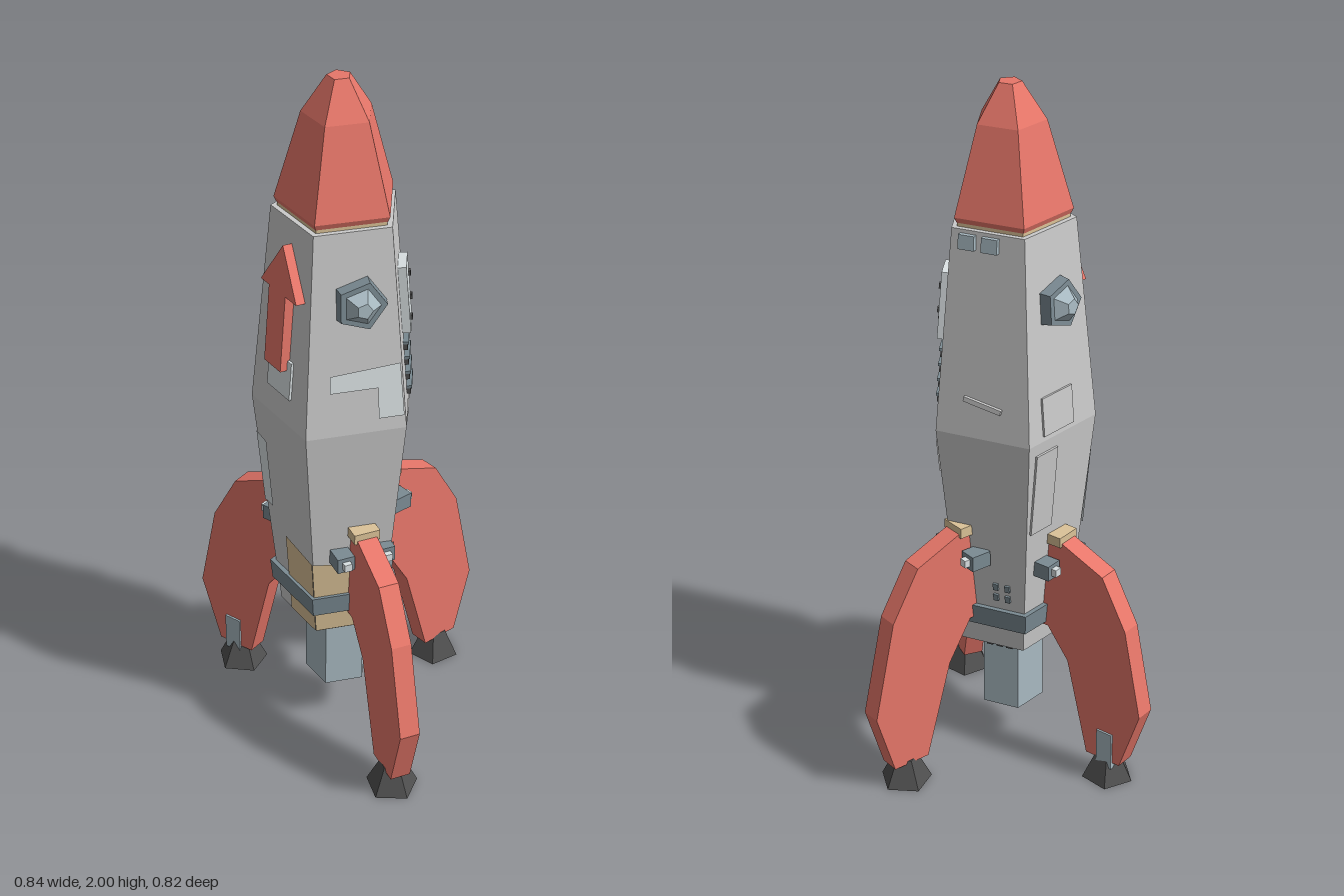
import * as THREE from 'three';

const CX = 0.052, CZ = 0.042; // hull axis
const GREY = 0xcccccc, RED = 0xe8776a, STEEL = 0x7b8b93, PALE = 0xa9bac2, LIGHT = 0xdbe2e4, TAN = 0xdcc398, DARK = 0x505050;
const rad = THREE.MathUtils.degToRad;

function mesh(name, geometry, color, parent, side = THREE.FrontSide) {
  const m = new THREE.Mesh(geometry, new THREE.MeshStandardMaterial({ color, flatShading: true, side }));
  m.name = name;
  parent.add(m);
  return m;
}

// five-sided solid from a [radius, height] profile, a corner pointing to the front
const lathe = (pts) => new THREE.LatheGeometry(pts.map(([r, y]) => new THREE.Vector2(r, y)), 5);
const box = (w, h, d) => new THREE.BoxGeometry(w, h, d);

function shapeOf(pts) {
  return new THREE.Shape(pts.map(([x, y]) => new THREE.Vector2(x, y)));
}
function slab(pts, depth) {
  const g = new THREE.ExtrudeGeometry(shapeOf(pts), { depth, bevelEnabled: false });
  return g.translate(0, 0, -depth / 2);
}

// hull radius at corner, by height
const Y0 = 0.38, Y1 = 1.06, Y2 = 1.635, R0 = 0.16, R1 = 0.233, R2 = 0.175;
const hullR = (y) => (y < Y1 ? R0 + ((R1 - R0) * (y - Y0)) / (Y1 - Y0) : R1 + ((R2 - R1) * (y - Y1)) / (Y2 - Y1));
const halfWidth = (y) => hullR(y) * Math.sin(rad(36));
const apothem = (y) => hullR(y) * Math.cos(rad(36));

// hull sides by direction in degrees from +x towards +z
const FRONT_RIGHT = 54, FRONT_LEFT = 126, LEFT = 198, BACK = 270, RIGHT = 342;

// anchor lying on a hull side: u along the side, z outwards
function anchor(parent, face, u, y, name) {
  const a = rad(face), g = new THREE.Group(), d = apothem(y);
  g.name = name;
  g.position.set(Math.cos(a) * d + Math.sin(a) * u, y, Math.sin(a) * d - Math.cos(a) * u);
  const slope = y < Y1 ? (R1 - R0) / (Y1 - Y0) : (R2 - R1) / (Y2 - Y1);
  g.rotation.set(Math.atan(slope * Math.cos(rad(36))), Math.PI / 2 - a, 0, 'YXZ');
  parent.add(g);
  return g;
}

// thin sheet following a hull side, outline in [u, y]
function patch(parent, name, face, pts, color, off = 0.005) {
  const g = new THREE.ShapeGeometry(shapeOf(pts)), p = g.attributes.position, a = rad(face);
  for (let i = 0; i < p.count; i++) {
    const u = p.getX(i), y = p.getY(i), d = apothem(y) + off;
    p.setXYZ(i, Math.cos(a) * d + Math.sin(a) * u, y, Math.sin(a) * d - Math.cos(a) * u);
  }
  g.computeVertexNormals();
  return mesh(name, g, color, parent, THREE.DoubleSide);
}

function porthole(parent, face, u, y) {
  const g = anchor(parent, face, u, y, 'porthole');
  const turn = (geo) => geo.rotateX(Math.PI / 2).rotateZ(0.3);
  mesh('portholeFrame', turn(new THREE.CylinderGeometry(0.068, 0.075, 0.04, 5)), STEEL, g).position.z = 0.012;
  mesh('portholeGlass', turn(new THREE.CylinderGeometry(0.022, 0.052, 0.03, 5)), PALE, g).position.z = 0.046;
}

// fin with foot; lean pushes the lower end outwards
function fin(parent, angle, lean, lift) {
  const g = new THREE.Group();
  g.name = 'fin';
  g.rotation.y = -rad(angle);
  parent.add(g);
  const outline = [[0.12, 0.735], [0.196, 0.725], [0.34, 0.665], [0.42, 0.52], [0.475, 0.26], [0.41, 0.07],
    [0.295, 0.07], [0.225, 0.35], [0.155, 0.44], [0.12, 0.44]]
    .map(([r, y]) => [r + lean * (1 - y / 0.74), y > 0.4 ? y + lift : y]);
  mesh('finBlade', slab(outline, 0.058), RED, g);
  const foot = mesh('foot', new THREE.CylinderGeometry(0.036, 0.075, 0.08, 5), DARK, g);
  foot.position.set(0.352 + lean, 0.04, 0);
  foot.rotation.y = 0.5;
  // bracket over the root and a clasp on each side
  mesh('finBracket', box(0.06, 0.03, 0.075), TAN, g).position.set(0.172, 0.728 + lift, 0);
  for (const s of [-1, 1]) {
    mesh('finClasp', box(0.06, 0.045, 0.05), STEEL, g).position.set(0.168, 0.65 + lift, s * 0.06);
    mesh('claspPin', box(0.02, 0.022, 0.022), LIGHT, g).position.set(0.204, 0.65 + lift, s * 0.06);
  }
  return g;
}

export function createModel() {
  const model = new THREE.Group();
  model.name = 'rocket';
  const body = new THREE.Group();
  body.name = 'body';
  body.position.set(CX, 0, CZ);
  model.add(body);

  // hull, nose and band
  mesh('hull', lathe([[0, Y0], [R0, Y0], [R1, Y1], [R2, Y2], [0, Y2]]), GREY, body);
  mesh('noseCollar', lathe([[0.158, 1.63], [0.158, 1.655]]), TAN, body);
  mesh('noseCone', lathe([[0, 1.645], [0.16, 1.645], [0.167, 1.66], [0.097, 1.9], [0.032, 2], [0, 2]]), RED, body);
  mesh('band', lathe([[0.165, 0.45], [hullR(0.45) + 0.017, 0.45], [hullR(0.51) + 0.017, 0.51], [0.17, 0.51]]), STEEL, body);

  // nozzle with a dark hollow
  mesh('nozzle', lathe([[0.074, 0.14], [0.092, 0.14], [0.09, 0.385]]), PALE, body);
  mesh('nozzleHollow', lathe([[0, 0.3], [0.066, 0.3], [0.074, 0.14]]), DARK, body);
  for (let k = 0; k < 5; k++) {
    for (const u of [-0.03, 0, 0.03]) {
      const a = rad(54 + 72 * k), d = 0.075;
      const b = mesh('nozzleStud', box(0.018, 0.02, 0.016), DARK, body);
      b.position.set(Math.cos(a) * d + Math.sin(a) * u, 0.353, Math.sin(a) * d - Math.cos(a) * u);
      b.rotation.y = Math.PI / 2 - a;
    }
  }

  // fins
  const finA = fin(body, 194.6, 0, 0);
  fin(body, 298.4, 0.03, 0.03);
  fin(body, 45.4, 0.035, 0);
  mesh('finPlate', box(0.052, 0.115, 0.07), PALE, finA).position.set(0.36, 0.108, 0);

  // tan plating around the front corner
  patch(body, 'tanPlate', FRONT_LEFT, [[-0.03, 0.385], [halfWidth(0.385) + 0.003, 0.385], [halfWidth(0.63) + 0.003, 0.63], [-0.02, 0.65]], TAN);
  patch(body, 'tanPlate', FRONT_RIGHT, [[-halfWidth(0.385) - 0.003, 0.385], [0.03, 0.385], [0, 0.61], [-halfWidth(0.63) - 0.003, 0.63]], TAN);

  // arrow and plates on the front left side
  const arrow = anchor(body, FRONT_LEFT, 0, 1.4, 'arrow');
  mesh('arrowShape', slab([[0.008, 0.175], [-0.085, 0.04], [-0.045, 0.04], [-0.045, -0.18], [0.035, -0.18], [0.035, 0.04], [0.088, 0.04]], 0.03), RED, arrow).position.z = 0.012;
  mesh('arrowPlate', box(0.11, 0.11, 0.014), LIGHT, anchor(body, FRONT_LEFT, 0, 1.195, 'arrowPlateMount'));
  patch(body, 'sidePlate', FRONT_LEFT, [[-0.118, 0.72], [-0.075, 0.72], [-0.075, 0.94], [-0.124, 0.95]], LIGHT);

  porthole(body, FRONT_RIGHT, 0.012, 1.44);
  porthole(body, LEFT, 0, 1.43);

  // L-shaped plate on the front right side
  patch(body, 'cornerPlate', FRONT_RIGHT, [[-0.07, 1.19], [0.06, 1.19], [0.06, 1.1], [0.13, 1.1], [0.12, 1.255], [-0.07, 1.24]], LIGHT);

  // hatch, vents and plate on the right side
  const hatch = anchor(body, RIGHT, 0.005, 1.385, 'hatch');
  mesh('hatchPlate', box(0.085, 0.195, 0.03), LIGHT, hatch).position.z = 0.008;
  for (const [x, y] of [[0.02, 0.05], [-0.02, -0.06], [0.02, -0.02]])
    mesh('hatchBolt', box(0.014, 0.014, 0.01), DARK, hatch).position.set(x, y, 0.024);
  for (let i = 0; i < 4; i++) {
    const vent = anchor(body, RIGHT, 0.005, 1.245 - i * 0.045, 'vent');
    mesh('ventSlat', box(0.082, 0.02, 0.022), DARK, vent);
    mesh('ventLip', box(0.086, 0.008, 0.03), STEEL, vent).position.y = 0.012;
  }
  mesh('rightPlate', box(0.12, 0.09, 0.01), GREY, anchor(body, RIGHT, 0.062, 0.975, 'rightPlateMount'));

  // raised plates on the left side
  mesh('leftPlate', box(0.085, 0.25, 0.012), GREY, anchor(body, LEFT, -0.065, 0.9, 'leftPlateMount'));
  mesh('leftPlate', box(0.12, 0.11, 0.012), GREY, anchor(body, LEFT, -0.02, 1.13, 'leftPlateMount'));

  // clips, rib and studs on the back
  for (const u of [-0.055, 0.01])
    mesh('backClip', box(0.045, 0.04, 0.03), PALE, anchor(body, BACK, u, 1.605, 'backClipMount'));
  const rib = mesh('backRib', box(0.11, 0.014, 0.02), GREY, anchor(body, BACK, 0, 1.16, 'backRibMount'));
  rib.rotation.z = -0.2;
  for (let i = 0; i < 4; i++)
    mesh('backStud', box(0.015, 0.02, 0.014), STEEL, anchor(body, BACK, 0.02 + (i % 2) * 0.035, 0.55 + (i >> 1) * 0.035, 'backStudMount'));

  return model;
}
